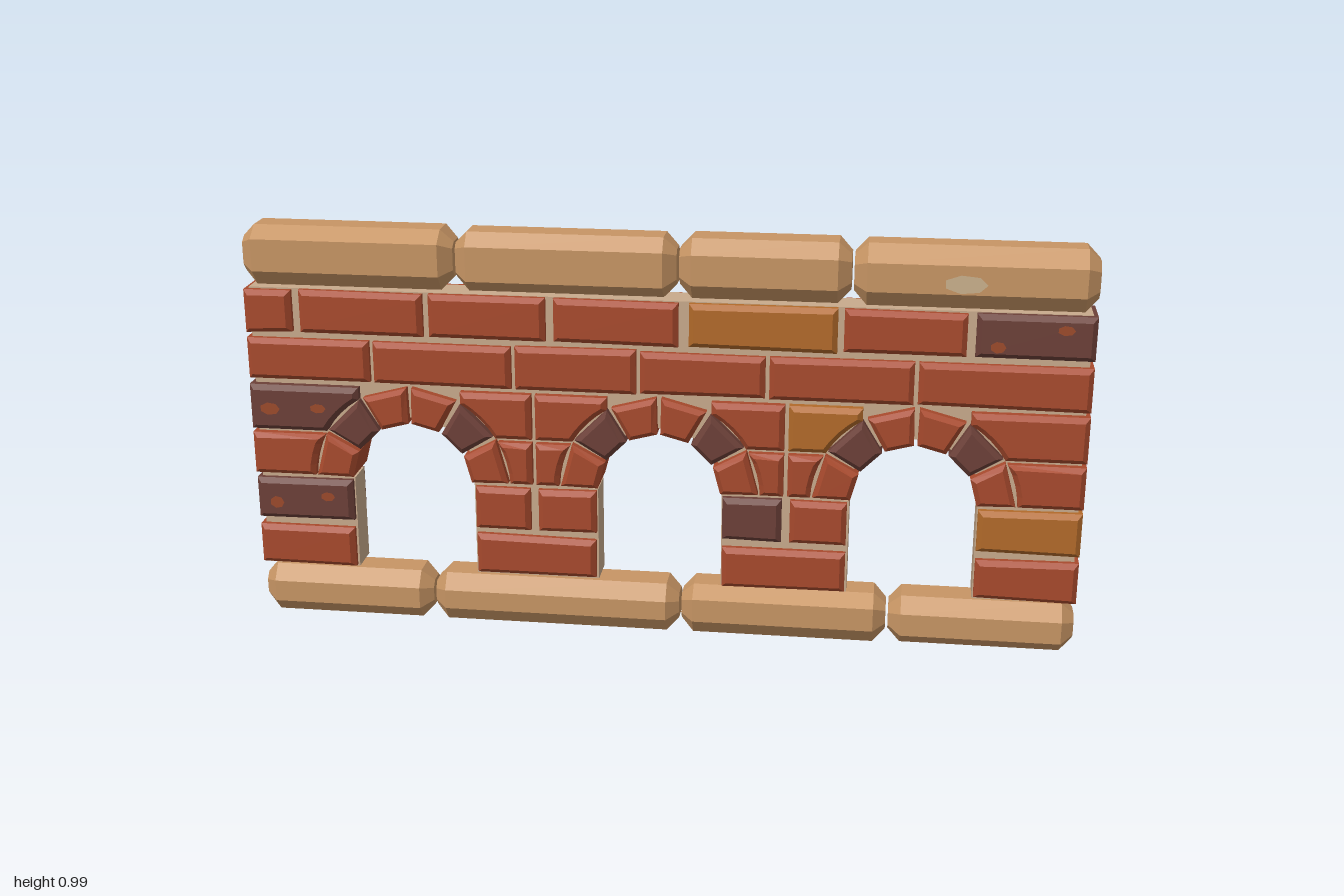
import * as THREE from 'three';

const mat = (name, color, side = THREE.FrontSide) => {
  const m = new THREE.MeshStandardMaterial({ color, side });
  m.name = name;
  return m;
};

export function createModel() {
  const wall = new THREE.Group();
  wall.name = 'archedBrickWall';

  const red = mat('redBrick', 0xa84a2d);
  const dark = mat('darkBrick', 0x6c4038);
  const amber = mat('amberBrick', 0xb26a2a);
  const stone = mat('sandStone', 0xc79564);
  const mortar = mat('mortar', 0xc8aa8c);
  const chip = mat('brickChip', 0x9c4a2b, THREE.DoubleSide);
  const pale = mat('paleStone', 0xc9b08c, THREE.DoubleSide);

  let seed = 7;
  const rand = () => {
    seed = (seed * 16807) % 2147483647;
    return seed / 2147483647 - 0.5;
  };

  const add = (name, geometry, material, parent = wall) => {
    const mesh = new THREE.Mesh(geometry, material);
    mesh.name = name;
    parent.add(mesh);
    return mesh;
  };
  const group = (name) => {
    const g = new THREE.Group();
    g.name = name;
    wall.add(g);
    return g;
  };

  // Outline extruded through the wall, with chamfered front and back rims
  const block = (pts, halfDepth, bevel = 0.012) => {
    const shape = new THREE.Shape(pts.map(([x, y]) => new THREE.Vector2(x, y)));
    const depth = 2 * (halfDepth - bevel);
    return new THREE.ExtrudeGeometry(shape, {
      depth, bevelEnabled: true, bevelSegments: 1,
      bevelSize: bevel, bevelThickness: bevel, bevelOffset: -bevel,
    }).translate(0, 0, -depth / 2);
  };

  const CX = [-0.605, 0, 0.605]; // arch centres
  const CY = 0.365;

  // Mortar core with three arched openings
  const core = new THREE.Shape();
  core.moveTo(-0.99, 0.13);
  for (const cx of CX) {
    core.lineTo(cx - 0.15, 0.13);
    core.lineTo(cx - 0.15, CY);
    core.absarc(cx, CY, 0.163, Math.PI, 0, true);
    core.lineTo(cx + 0.15, CY);
    core.lineTo(cx + 0.15, 0.13);
  }
  core.lineTo(0.99, 0.13);
  core.lineTo(0.99, 0.842);
  core.lineTo(-0.99, 0.842);
  add('mortarCore', new THREE.ExtrudeGeometry(core, { depth: 0.08, bevelEnabled: false, curveSegments: 12 })
    .translate(0, 0, -0.04), mortar);

  // Straight brick courses: [left, right, material]
  const courses = [
    { y: [0.735, 0.84], bricks: [[-1, -0.885, red], [-0.865, -0.565, red], [-0.55, -0.27, red], [-0.25, 0.045, red],
      [0.07, 0.415, amber], [0.43, 0.71, red], [0.73, 1, dark]] },
    { y: [0.615, 0.72], bricks: [[-1, -0.7, red], [-0.69, -0.355, red], [-0.345, -0.055, red], [-0.045, 0.25, red],
      [0.26, 0.595, red], [0.605, 1, red]] },
    { y: [0.255, 0.362], bricks: [[-1, -0.758, dark], [-0.45, -0.315, red], [-0.295, -0.153, red],
      [0.153, 0.295, dark], [0.315, 0.45, red], [0.758, 1, amber]] },
    { y: [0.135, 0.237], bricks: [[-1, -0.76, red], [-0.45, -0.155, red], [0.153, 0.45, red], [0.758, 1, red]] },
  ];
  const bricks = group('bricks');
  for (const { y: [y0, y1], bricks: row } of courses) {
    for (const [a, b, m] of row) {
      const j = () => rand() * 0.006;
      const pts = [[a, y0 + j()], [b, y0 + j()], [b, y1 + j()], [a, y1 + j()]];
      add('brick', block(pts, 0.063), m, bricks);
    }
  }

  // Bricks cut to follow the arch rings
  const R = 0.243;
  const cutBrick = (cx, s, edge, y0, y1) => {
    const limit = Math.acos(0.125 / R);
    const top = Math.asin(Math.min(1, (y1 - CY) / R));
    const t1 = Math.min(top, limit);
    const t0 = Math.asin((y0 - CY) / R);
    const pts = [[edge, y0], [edge, y1]];
    if (top > limit) pts.push([cx + s * 0.125, y1]);
    for (let i = 0; i <= 4; i++) {
      const t = t1 + (t0 - t1) * i / 4;
      pts.push([cx + s * R * Math.cos(t), CY + R * Math.sin(t)]);
    }
    return block(pts, 0.068);
  };
  const upperColors = [dark, red, red, red, amber, red];
  const edges = [-1, -0.308, -0.298, 0.298, 0.308, 1];
  CX.forEach((cx, i) => [-1, 1].forEach((s, k) => {
    const n = i * 2 + k;
    add('upperArchBrick', cutBrick(cx, s, edges[n], 0.49, 0.603), upperColors[n], bricks);
    add('lowerArchBrick', cutBrick(cx, s, edges[n], 0.375, 0.48), red, bricks);
  }));

  // Arch rings of six wedge stones each
  const arches = group('archRings');
  for (const cx of CX) {
    for (let i = 0; i < 6; i++) {
      const a0 = (i + 0.05) * Math.PI / 6, a1 = (i + 0.95) * Math.PI / 6;
      const at = (r, a) => [cx + r * Math.cos(a), CY + 0.005 + r * Math.sin(a)];
      const pts = [at(0.148, a0), at(0.238, a0), at(0.238, a1), at(0.148, a1)];
      add('archWedge', block(pts, 0.07), i === 1 || i === 4 ? dark : red, arches);
    }
  }

  // Long chamfered stones: eight-sided section, narrowed at both ends
  const longStone = (x0, x1, y0, y1) => {
    const c = 0.033, w = 0.065, j = () => rand() * 0.012;
    const pts = [[-w + c + j(), y0], [w - c + j(), y0], [w, y0 + c + j()], [w, y1 - c + j()],
      [w - c + j(), y1], [-w + c + j(), y1], [-w, y1 - c + j()], [-w, y0 + c + j()]];
    const half = (x1 - x0) / 2;
    return block(pts, half, 0.03).rotateY(Math.PI / 2).translate((x0 + x1) / 2, 0, 0);
  };
  const stones = group('stoneCourses');
  const layStones = (name, cuts, y0, y1) => {
    for (let i = 0; i < cuts.length - 1; i++) {
      add(name, longStone(cuts[i] + (i ? 0.003 : 0), cuts[i + 1] - 0.003, y0, y1), stone, stones);
    }
  };
  layStones('capStone', [-1, -0.487, 0.042, 0.445, 1.003], 0.848, 0.992);
  layStones('baseStone', [-1, -0.567, 0.05, 0.555, 1.003], 0, 0.124);

  // Worn spots on both faces: [x, y, z, half width, half height, material]
  const spots = [
    [-0.95, 0.545, 0.0685, 0.025, 0.016, chip], [-0.83, 0.55, 0.0685, 0.02, 0.012, chip],
    [-0.95, 0.3, 0.0635, 0.018, 0.016, chip], [-0.82, 0.32, 0.0635, 0.018, 0.012, chip],
    [0.78, 0.765, 0.0635, 0.018, 0.014, chip], [0.93, 0.81, 0.0635, 0.02, 0.012, chip],
    [0.7, 0.91, 0.0655, 0.05, 0.022, pale],
  ];
  const wear = group('wornSpots');
  for (const [x, y, z, w, h, m] of spots) {
    for (const s of [1, -1]) {
      const g = new THREE.CircleGeometry(1, 7).scale(w, h, 1);
      if (s < 0) g.rotateY(Math.PI);
      add('wornSpot', g.translate(x, y, s * z), m, wear);
    }
  }
  return wall;
}
